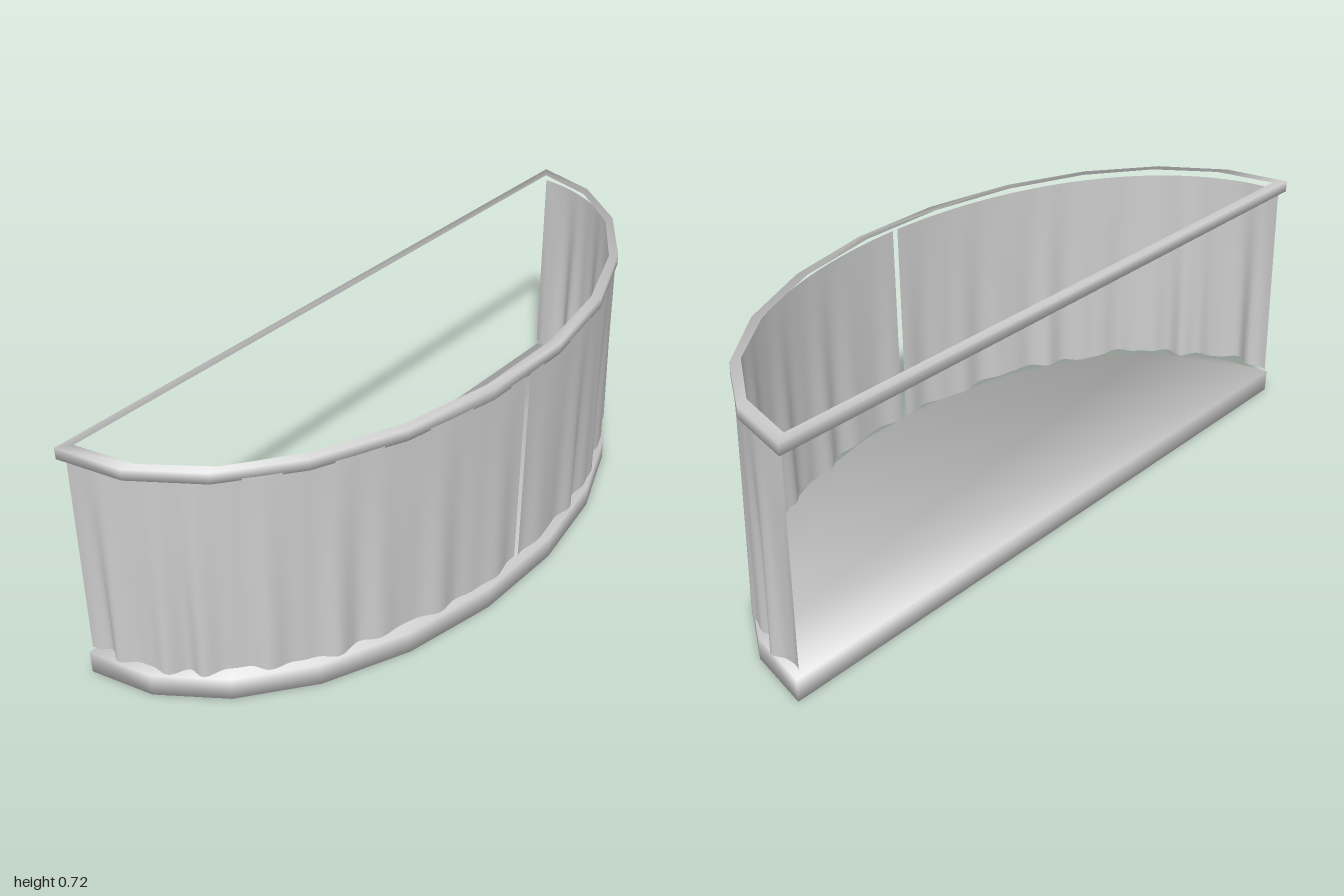
import * as THREE from 'three';
import { mergeVertices } from 'three/addons/utils/BufferGeometryUtils.js';

const BACK = -0.33;   // z of the straight back edge
const SIDES = 11;     // straight pieces along the bowed front

const grey = new THREE.MeshStandardMaterial({ color: 0xcccccc });
grey.name = 'lightGrey';
const cloth = grey.clone();
cloth.name = 'lightGreyCloth';
cloth.side = THREE.DoubleSide;

// Half-oval outline, drawn in x and -z
function outline(rx, rz, back) {
  const points = [];
  for (let i = 0; i <= SIDES; i++) {
    const a = (i / SIDES) * Math.PI;
    points.push(new THREE.Vector2(rx * Math.cos(a), -(back + rz * Math.sin(a))));
  }
  return points;
}

// Extrude a flat shape upward and weld it so the shading rolls over its edges
function slab(shape, height, y) {
  const raw = new THREE.ExtrudeGeometry(shape, { depth: height, bevelEnabled: false });
  raw.deleteAttribute('normal');
  raw.deleteAttribute('uv');
  const g = mergeVertices(raw, 1e-4);
  g.rotateX(-Math.PI / 2);
  g.translate(0, y, 0);
  g.computeVertexNormals();
  return g;
}

function addMesh(group, name, geometry, material) {
  const mesh = new THREE.Mesh(geometry, material);
  mesh.name = name;
  group.add(mesh);
}

// Base tray with edge normals leaning outward, for a soft rounded look
function baseGeometry() {
  const g = slab(new THREE.Shape(outline(1, 0.66, BACK)), 0.067, 0);
  const p = g.attributes.position;
  const n = new THREE.Vector3();
  for (let i = 0; i < p.count; i++) {
    const x = p.getX(i), z = p.getZ(i) - BACK;
    n.set(x, 0, z < 0.01 ? -1 : z / 0.4356).normalize();
    n.y = p.getY(i) > 0.03 ? 1 : -1;
    n.normalize();
    g.attributes.normal.setXYZ(i, n.x, n.y, n.z);
  }
  return g;
}

// Curtain panel between two angles; the pleats deepen toward the hem
function curtainGeometry(from, to, phase) {
  const g = new THREE.PlaneGeometry(1, 1, 130, 8);
  const p = g.attributes.position;
  for (let i = 0; i < p.count; i++) {
    const u = p.getX(i) + 0.5;
    const v = p.getY(i) + 0.5;
    const a = THREE.MathUtils.lerp(from, to, u);
    const drop = 1 - v;
    const side = 0.45 + 0.55 * Math.abs(Math.cos(a));
    const wave = Math.sin(34 * a + phase + 0.8 * Math.sin(9 * a))
      + 0.45 * Math.sin(57 * a + 2 * phase);
    const out = drop * (0.004 + 0.012 * side * wave);
    const hem = 0.082 + 0.006 * Math.sin(13 * a + phase);
    p.setXYZ(i,
      (0.982 + out) * Math.cos(a),
      THREE.MathUtils.lerp(hem, 0.69, v),
      BACK + 0.015 * v + (0.64 + out) * Math.sin(a));
  }
  g.computeVertexNormals();
  return g;
}

export function createModel() {
  const model = new THREE.Group();
  model.name = 'curtainedBowFrame';

  addMesh(model, 'base', baseGeometry(), grey);

  // Top rail, open in the middle
  const rail = new THREE.Shape(outline(1, 0.66, BACK));
  rail.holes.push(new THREE.Path(outline(0.962, 0.605, BACK + 0.026)));
  addMesh(model, 'topRail', slab(rail, 0.032, 0.685), grey);

  // Two curtains meeting at a narrow gap in front
  const gap = 0.009;
  addMesh(model, 'rightCurtain', curtainGeometry(Math.PI, Math.PI / 2 + gap, 0.4), cloth);
  addMesh(model, 'leftCurtain', curtainGeometry(Math.PI / 2 - gap, 0, 2.1), cloth);

  return model;
}
